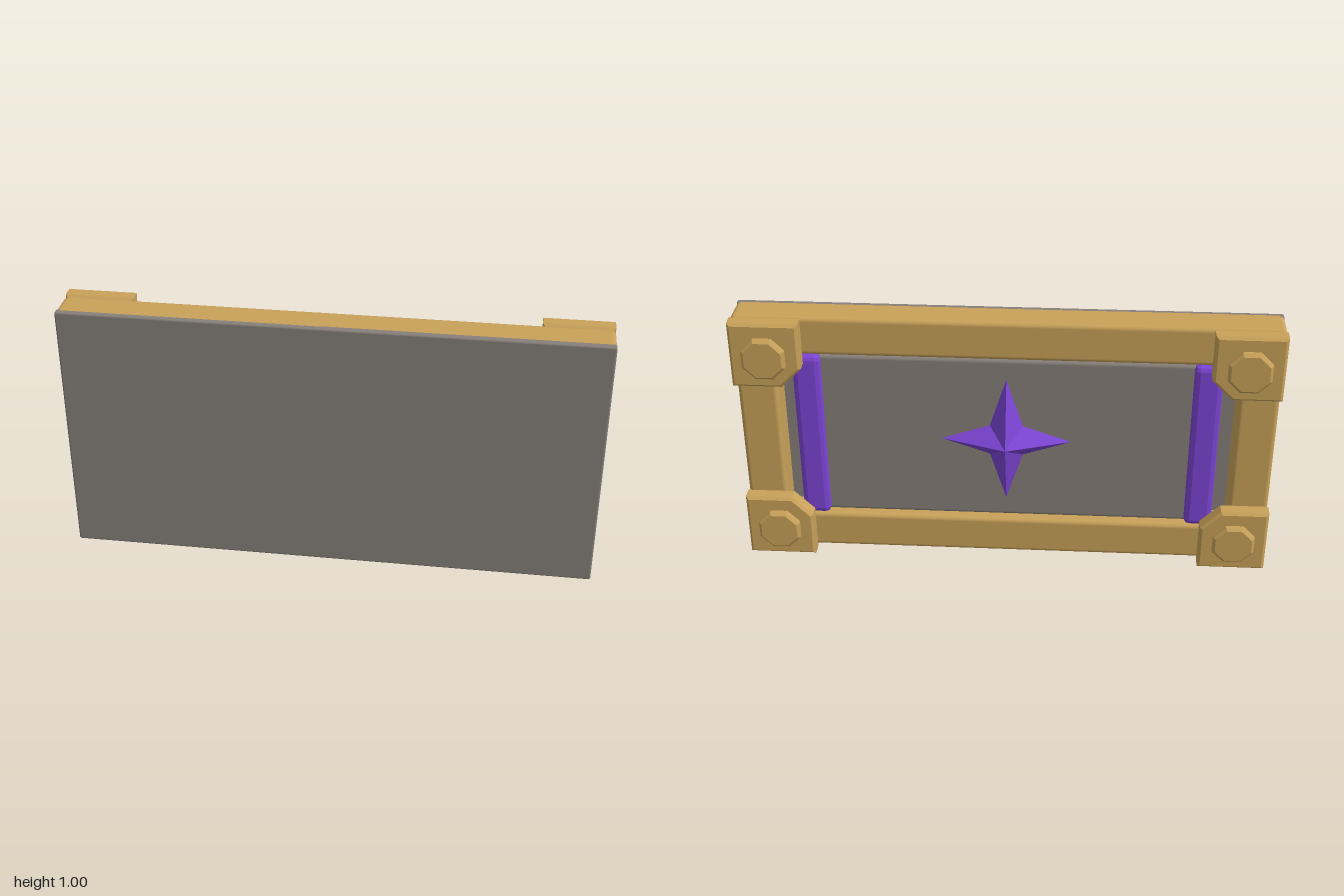
import * as THREE from 'three';
import { RoundedBoxGeometry } from 'three/addons/geometries/RoundedBoxGeometry.js';

const gold = new THREE.MeshStandardMaterial({ color: 0xc9a25a });
const goldFlat = new THREE.MeshStandardMaterial({ color: 0xc9a25a, flatShading: true });
const stone = new THREE.MeshStandardMaterial({ color: 0x87807a });
const purple = new THREE.MeshStandardMaterial({ color: 0x7d45d6, flatShading: true });

export function createModel() {
  const model = new THREE.Group();
  model.name = 'framedPlaque';

  const add = (name, geometry, material) => {
    const mesh = new THREE.Mesh(geometry, material);
    mesh.name = name;
    model.add(mesh);
    return mesh;
  };

  // Softly rounded box given by its limits on each axis
  const box = (name, [x0, x1], [y0, y1], [z0, z1], radius, material, segments = 2) => {
    const g = new RoundedBoxGeometry(x1 - x0, y1 - y0, z1 - z0, segments, radius);
    add(name, g, material).position.set((x0 + x1) / 2, (y0 + y1) / 2, (z0 + z1) / 2);
  };

  // Bevelled plate from an outline, lying between z0 and z1
  const plate = (points, z0, z1, bevel) => {
    const g = new THREE.ExtrudeGeometry(new THREE.Shape(points), {
      depth: z1 - z0 - 2 * bevel, bevelEnabled: true, bevelSegments: 1,
      bevelThickness: bevel, bevelSize: bevel, bevelOffset: -bevel,
    });
    return g.translate(0, 0, z0 + bevel);
  };

  // Stone face and inner panel
  box('frontSlab', [-1, 1], [0, 1], [0.09, 0.12], 0.008, stone);
  box('backPanel', [-0.7, 0.7], [0.16, 0.84], [0, 0.1], 0.015, stone);

  // Frame bars
  const depth = [-0.02, 0.119];
  box('bottomBar', [-1, 1], [0, 0.152], depth, 0.018, gold);
  box('topBar', [-1, 1], [0.848, 1], depth, 0.018, gold);

  // Corner plate outline with the inward corner cut off
  const cornerOutline = [[-0.128, -0.053], [-0.053, -0.128], [0.128, -0.128], [0.128, 0.128], [-0.128, 0.128]];

  for (const sx of [-1, 1]) {
    const span = (a, b) => (sx > 0 ? [a, b] : [-b, -a]);
    box('sideBar', span(0.85, 1), [0.158, 0.842], depth, 0.018, gold);
    box('purpleStrip', span(0.685, 0.79), [0.155, 0.845], [-0.025, 0.095], 0.02, purple, 1);

    for (const sy of [-1, 1]) {
      const points = cornerOutline.map(([x, y]) => new THREE.Vector2(sx * x, sy * y));
      add('cornerPlate', plate(points, -0.085, -0.02, 0.01), goldFlat)
        .position.set(sx * 0.872, 0.5 + sy * 0.372, 0);

      // Eight-sided bolt head
      const ring = Array.from({ length: 8 }, (_, i) => {
        const a = (i + 0.5) * Math.PI / 4;
        return new THREE.Vector2(Math.cos(a), Math.sin(a)).multiplyScalar(0.085);
      });
      add('boltHead', plate(ring, -0.119, -0.084, 0.01), goldFlat)
        .position.set(sx * 0.872, 0.5 + sy * 0.372, 0);
    }
  }

  // Four-pointed star, rising to a peak at the back
  const rim = [];
  for (let i = 0; i < 8; i++) {
    const a = i * Math.PI / 4;
    const inner = i % 2 === 1;
    rim.push([Math.cos(a) * (inner ? 0.09 : 0.25), Math.sin(a) * (inner ? 0.09 : 0.265), 0.002]);
  }
  const corners = [];
  rim.forEach((p, i) => corners.push(...rim[(i + 1) % 8], ...p, 0, 0, -0.085));
  const star = new THREE.BufferGeometry();
  star.setAttribute('position', new THREE.Float32BufferAttribute(corners, 3));
  star.computeVertexNormals();
  add('star', star, purple).position.y = 0.5;

  return model;
}
